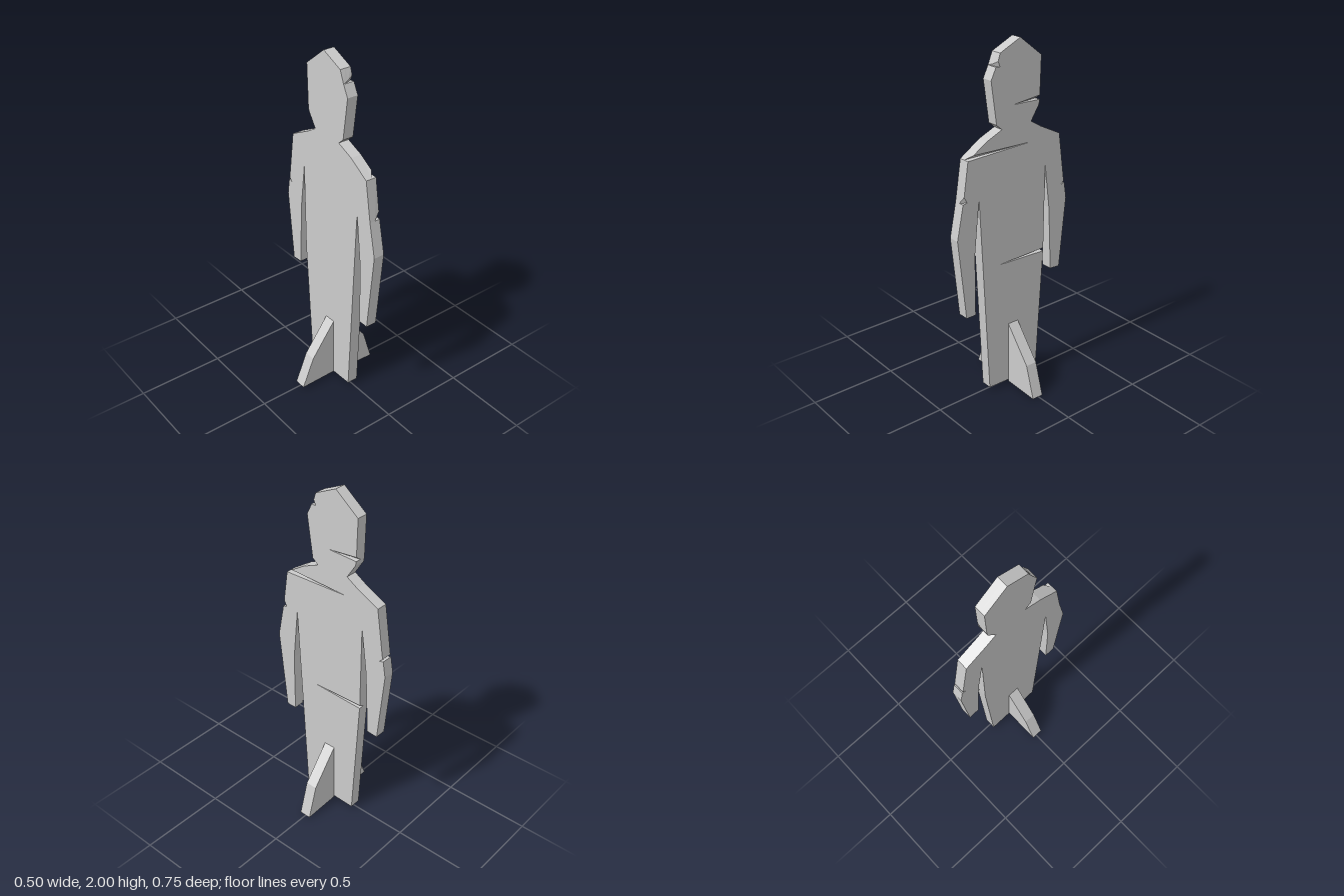
import * as THREE from 'three';

const H = 0.032; // half thickness of the board
const material = new THREE.MeshStandardMaterial({ color: 0xcccccc, flatShading: true });

// A chip is cut into the left face only: lips and tip shrink to the anchor
// towards the right face. "open" is how far it is still open half way through.
const chip = (points, anchor, open = 0) =>
  points.map(([z, y]) => ({ z, y, anchor, open }));
const run = (...points) => points.map(([z, y]) => ({ z, y }));

// Outline of the figure as [z, y], from the crown down the back and up the front
const outline = [
  ...run([-0.04, 2], [-0.18, 1.89]),
  ...chip([[-0.173, 1.678], [0.005, 1.66], [-0.172, 1.655]], [-0.172, 1.655]), // nape cut
  ...run([-0.168, 1.63], [-0.115, 1.548], [-0.18, 1.508], [-0.315, 1.44]),
  ...run([-0.355, 1.155], [-0.333, 1.135], [-0.36, 1.143]), // nick through the back arm
  ...run([-0.375, 1.05], [-0.333, 0.635], [-0.268, 0.64], [-0.25, 1.02], [-0.217, 1.285]),
  ...chip([[-0.212, 0.787], [0.11, 0.78], [-0.211, 0.768]], [-0.211, 0.768]), // waist cut
  ...run([-0.164, 0.015], [0.175, 0.025], [0.233, 1.2]),
  ...run([0.265, 0.89], [0.267, 0.53], [0.328, 0.53], [0.376, 1]),
  ...chip([[0.336, 1.195], [0.31, 1.2], [0.328, 1.235]], [0.336, 1.195]), // front arm chip
  ...chip([[0.3, 1.422], [-0.105, 1.435], [0.265, 1.446]], [0.3, 1.422]), // shoulder cut
  ...run([0.18, 1.5], [0.08, 1.543], [0.115, 1.573], [0.148, 1.81]),
  ...chip([[0.117, 1.873], [0.09, 1.87], [0.103, 1.9]], [0.117, 1.873], 0.4), // brow chip
  ...run([0.09, 1.94]),
];

// One cross-section of the board: amount 0 = unmarked, 1 = fully cut
function section(x, amount) {
  return outline.map(({ z, y, anchor, open }) => {
    if (!anchor) return new THREE.Vector3(x, y, z);
    const t = amount === 0.5 ? open : amount;
    return new THREE.Vector3(
      x,
      THREE.MathUtils.lerp(anchor[1], y, t),
      THREE.MathUtils.lerp(anchor[0], z, t)
    );
  });
}

function figureGeometry() {
  const rings = [section(-H, 0), section(0, 0.5), section(H, 1)];
  const corners = [];
  const triangle = (a, b, c) => {
    const area = b.clone().sub(a).cross(c.clone().sub(a)).length();
    if (area > 1e-9) corners.push(a, b, c);
  };

  // Edge walls
  for (let r = 0; r < 2; r++) {
    for (let i = 0; i < outline.length; i++) {
      const j = (i + 1) % outline.length;
      const [a, b, c, d] = [rings[r][i], rings[r + 1][i], rings[r + 1][j], rings[r][j]];
      triangle(a, b, c);
      triangle(a, c, d);
    }
  }

  // Flat faces, each turned outwards
  for (const [ring, side] of [[rings[0], -1], [rings[2], 1]]) {
    const flat = ring.map((p) => new THREE.Vector2(p.z, p.y));
    for (const [i, j, k] of THREE.ShapeUtils.triangulateShape(flat, [])) {
      const [a, b, c] = [ring[i], ring[j], ring[k]];
      const normalX = b.clone().sub(a).cross(c.clone().sub(a)).x;
      if (normalX * side > 0) triangle(a, b, c);
      else triangle(a, c, b);
    }
  }

  const geometry = new THREE.BufferGeometry().setFromPoints(corners);
  geometry.computeVertexNormals();
  return geometry;
}

// Supporting fin, a plate standing across the board
function fin(name, points) {
  const shape = new THREE.Shape(points.map(([x, y]) => new THREE.Vector2(x, y)));
  const geometry = new THREE.ExtrudeGeometry(shape, { depth: 0.068, bevelEnabled: false });
  geometry.translate(0, 0, -0.029);
  const mesh = new THREE.Mesh(geometry, material);
  mesh.name = name;
  return mesh;
}

export function createModel() {
  const model = new THREE.Group();
  model.name = 'standingTargetBoard';

  const figure = new THREE.Mesh(figureGeometry(), material);
  figure.name = 'figureBoard';

  model.add(
    figure,
    fin('leftFin', [[H, 0.01], [0.25, 0], [0.192, 0.19], [H, 0.39]]),
    fin('rightFin', [[-H, 0.02], [-0.253, 0.015], [-0.18, 0.19], [-H, 0.39]])
  );
  return model;
}
